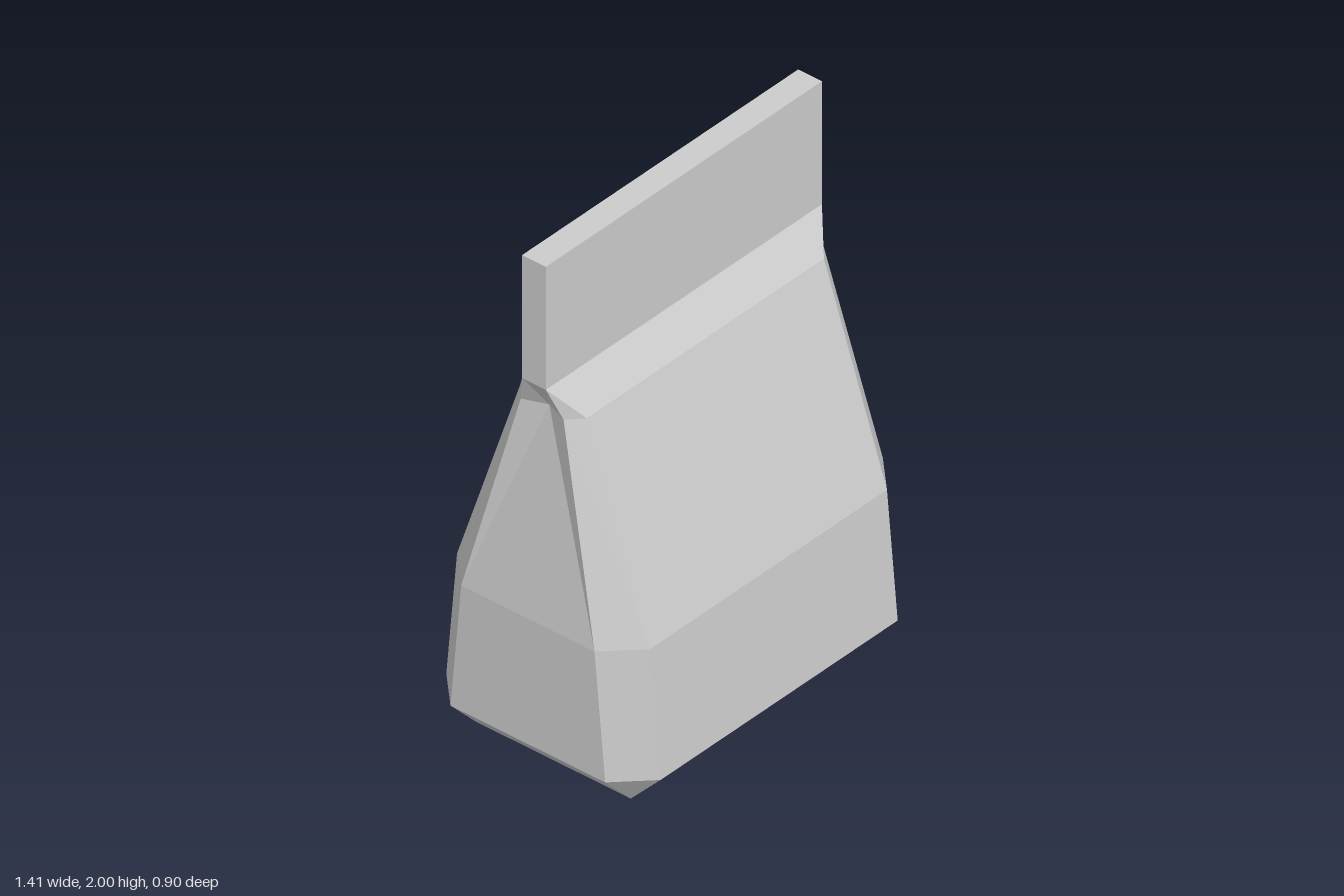
import * as THREE from 'three';

// Cross-sections: height, front corner (x, z), side corner (x, z), x of the side fold's middle
const sections = [
  [0.00, 0.58, 0.325, 0.58, 0.325, 0.58],
  [0.13, 0.58, 0.45, 0.705, 0.325, 0.705],
  [0.62, 0.58, 0.405, 0.705, 0.28, 0.705],
  [1.40, 0.58, 0.14, 0.635, 0.09, 0.60],
  [1.52, 0.675, 0.05, 0.675, 0.05, 0.675],
];

// Quarter outline from the middle of the front to the middle of the side
const quarter = ([y, fx, fz, sx, sz, mx]) => [
  [0, y, fz], [fx, y, fz], [sx, y, sz], [mx, y, 0],
].map((p) => new THREE.Vector3(...p));

function bagGeometry() {
  const positions = [];
  const rings = sections.map(quarter);

  // Adds a triangle to all four quarters, turning it over where mirrored
  const addTriangle = (a, b, c) => {
    if (new THREE.Triangle(a, b, c).getArea() < 1e-6) return;
    for (const sx of [1, -1]) {
      for (const sz of [1, -1]) {
        const corners = sx * sz > 0 ? [a, b, c] : [a, c, b];
        for (const p of corners) positions.push(p.x * sx, p.y, p.z * sz);
      }
    }
  };

  for (let r = 0; r < rings.length - 1; r++) {
    const low = rings[r];
    const high = rings[r + 1];
    for (let i = 0; i < 3; i++) {
      const [a, b, c, d] = [low[i], low[i + 1], high[i + 1], high[i]];
      if (r === 3) {
        // The neck flares out from the pinched fold
        addTriangle(a, b, d);
        addTriangle(b, c, d);
      } else {
        addTriangle(a, b, c);
        addTriangle(a, c, d);
      }
    }
  }

  // Flat base
  const centre = new THREE.Vector3(0, 0, 0);
  for (let i = 0; i < 3; i++) addTriangle(centre, rings[0][i + 1], rings[0][i]);

  const geometry = new THREE.BufferGeometry();
  geometry.setAttribute('position', new THREE.Float32BufferAttribute(positions, 3));
  geometry.computeVertexNormals();
  return geometry;
}

export function createModel() {
  const group = new THREE.Group();
  group.name = 'foldedBag';
  const material = new THREE.MeshStandardMaterial({ color: 0xcccccc, flatShading: true });

  // Tapered body with pinched sides
  const body = new THREE.Mesh(bagGeometry(), material);
  body.name = 'bagBody';

  // Flat sealed strip along the top
  const seal = new THREE.Mesh(new THREE.BoxGeometry(1.35, 0.48, 0.1), material);
  seal.name = 'topSeal';
  seal.position.y = 1.76;

  group.add(body, seal);
  return group;
}
